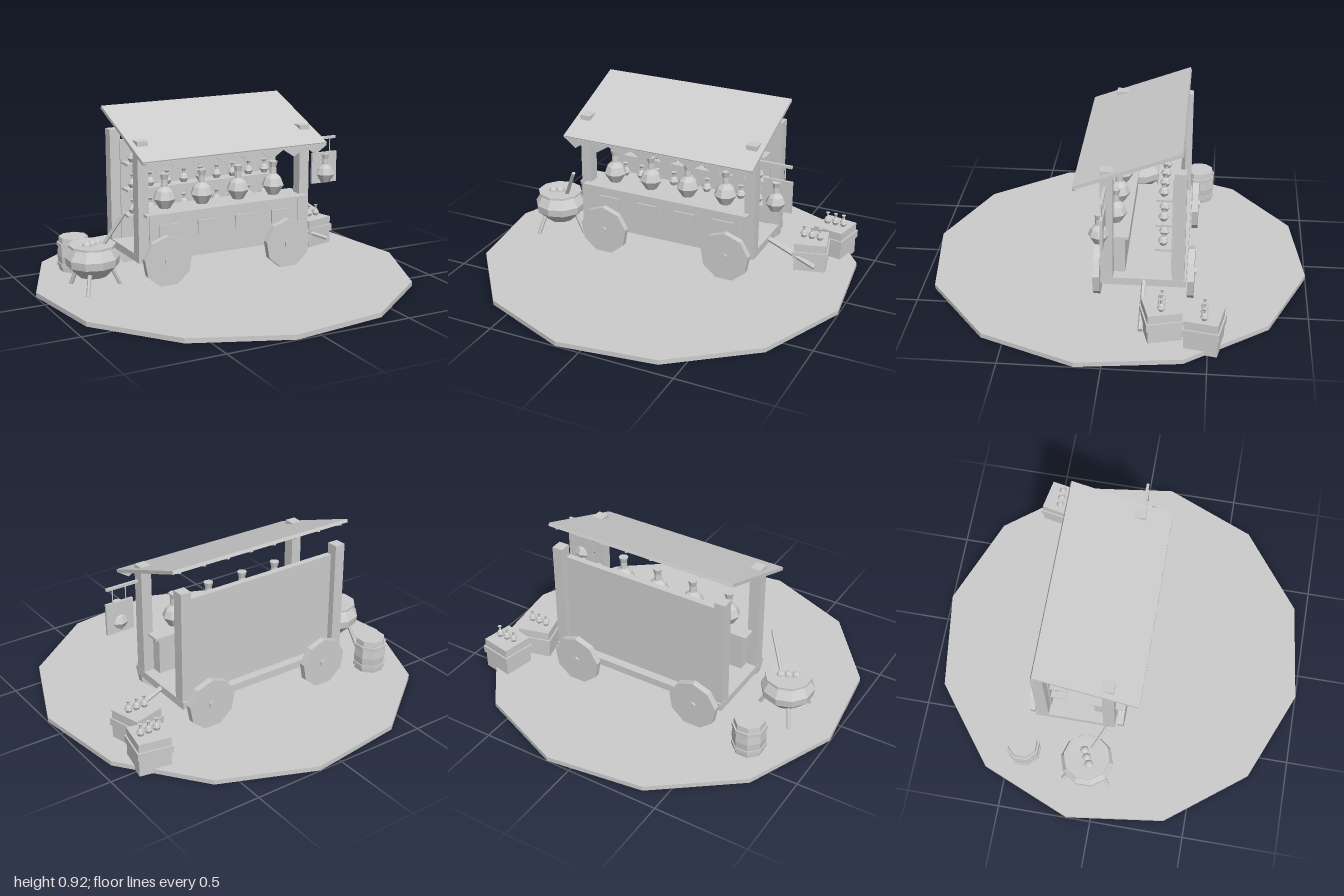
import * as THREE from 'three';

export function createModel() {
  const root = new THREE.Group();
  const grey = new THREE.MeshStandardMaterial({ color: 0xcccccc, flatShading: true });
  grey.name = 'plain grey';
  const greyThin = grey;

  const add = (name, geo, x = 0, y = 0, z = 0, parent = root) => {
    const m = new THREE.Mesh(geo, greyThin);
    m.name = name;
    m.position.set(x, y, z);
    parent.add(m);
    return m;
  };
  // Box given by its extents
  const box = (name, x0, x1, y0, y1, z0, z1, parent) =>
    add(name, new THREE.BoxGeometry(x1 - x0, y1 - y0, z1 - z0),
      (x0 + x1) / 2, (y0 + y1) / 2, (z0 + z1) / 2, parent);
  // Rod between two points
  const rod = (name, a, b, r0, r1 = r0, sides = 6) => {
    const p = new THREE.Vector3(...a), q = new THREE.Vector3(...b), d = q.clone().sub(p);
    const m = add(name, new THREE.CylinderGeometry(r1, r0, d.length(), sides));
    m.position.copy(p).add(q).multiplyScalar(0.5);
    m.quaternion.setFromUnitVectors(new THREE.Vector3(0, 1, 0), d.normalize());
    return m;
  };
  const lathe = (pts, sides) =>
    new THREE.LatheGeometry(pts.map(p => new THREE.Vector2(...p)), sides);

  const flaskGeo = lathe([[0, 0], [0.03, 0.004], [0.061, 0.055], [0.045, 0.095], [0.02, 0.118],
    [0.018, 0.155], [0.026, 0.185], [0, 0.185]], 8);
  const bottleGeo = lathe([[0, 0], [0.015, 0.002], [0.028, 0.024], [0.018, 0.043], [0.008, 0.05],
    [0.008, 0.065], [0.015, 0.076], [0, 0.076]], 8);

  // Ground disc
  add('ground', new THREE.CylinderGeometry(1.008, 1.008, 0.025, 12), 0, 0.0125, 0).rotation.y = -0.13;

  // Wagon bed, posts and back wall
  box('bed', -0.505, 0.505, 0.155, 0.195, -0.38, 0.05);
  for (const s of [-1, 1]) {
    for (const z of [0.018, -0.34]) box('post', s * 0.475 - 0.029, s * 0.475 + 0.029, 0.19, 0.79, z - 0.031, z + 0.031);
  }
  box('backWall', -0.45, 0.45, 0.19, 0.73, -0.335, -0.302);

  // Counter with cabinet and front plates
  box('cabinet', -0.445, 0.445, 0.155, 0.4, -0.07, 0.05);
  box('counterTop', -0.475, 0.475, 0.4, 0.413, -0.09, 0.09);
  for (const x of [-0.33, -0.11, 0.11, 0.33]) box('frontPlate', x - 0.059, x + 0.059, 0.27, 0.345, 0.05, 0.059);
  for (const s of [-1, 1]) box('cabinetTrim', s * 0.44 - 0.006, s * 0.44 + 0.006, 0.195, 0.4, 0.05, 0.056);

  // Large flasks on the counter
  for (const x of [-0.33, -0.115, 0.1, 0.315]) {
    add('flask', flaskGeo, x, 0.413, -0.01);
  }

  // Shelves with rows of small bottles
  for (const y of [0.33, 0.47, 0.61]) {
    box('shelf', -0.445, 0.445, y - 0.006, y + 0.006, -0.302, -0.22);
    for (let i = 0; i < 9; i++) add('bottle', bottleGeo, -0.4 + i * 0.1, y + 0.006, -0.258);
  }

  // Sloping roof with battens underneath
  const roof = new THREE.Group();
  roof.name = 'roof';
  roof.position.set(0, 0.807, -0.087);
  roof.rotation.x = Math.atan2(0.2, 0.53);
  root.add(roof);
  box('roofPanel', -0.533, 0.533, -0.009, 0.009, -0.283, 0.283, roof);
  for (let i = 0; i < 8; i++) {
    const x = -0.49 + i * 0.14;
    box('roofBatten', x - 0.005, x + 0.005, -0.016, -0.008, -0.275, 0.275, roof);
  }

  // Pointed valance along the front edge
  const valance = new THREE.Shape();
  valance.moveTo(-0.53, 0.71);
  for (let i = 0; i < 8; i++) {
    valance.lineTo(-0.53 + (i + 0.5) * 0.1325, 0.657);
    valance.lineTo(-0.53 + (i + 1) * 0.1325, 0.7);
  }
  valance.lineTo(0.53, 0.71);
  add('valance', new THREE.ExtrudeGeometry(valance, { depth: 0.006, bevelEnabled: false }), 0, 0, 0.176);

  // Wheels, hubs and axles
  for (const x of [-0.357, 0.357]) {
    rod('axle', [x, 0.157, -0.4], [x, 0.157, 0.08], 0.018);
    for (const [z, s] of [[0.076, 1], [-0.402, -1]]) {
      const wheel = add('wheel', new THREE.CylinderGeometry(0.136, 0.136, 0.034, 9), x, 0.157, z);
      wheel.rotation.x = Math.PI / 2;
      wheel.rotation.y = Math.PI;
      const hub = add('hub', new THREE.CylinderGeometry(0.024, 0.024, 0.016, 6), x, 0.157, z + s * 0.018);
      hub.rotation.x = Math.PI / 2;
    }
  }

  // Drawbar
  rod('drawbar', [0.48, 0.187, -0.17], [0.765, 0.065, -0.17], 0.013);

  // Hanging sign with a flask
  box('signArm', 0.49, 0.685, 0.697, 0.711, 0.018, 0.032);
  for (const x of [0.575, 0.65]) rod('signCord', [x, 0.62, 0.025], [x, 0.705, 0.025], 0.003);
  box('signBoard', 0.537, 0.692, 0.455, 0.625, 0.018, 0.032);
  add('signFlask', flaskGeo, 0.612, 0.46, 0.045).scale.setScalar(0.85);

  // Crates of bottles
  for (const [x, z, turn, size] of [[0.71, -0.27, 0.26, 0.172], [0.77, -0.48, -0.19, 0.168]]) {
    const crate = new THREE.Group();
    crate.name = 'crate';
    crate.position.set(x, 0, z);
    crate.rotation.y = turn;
    root.add(crate);
    const h = size / 2;
    box('crateBody', -h, h, 0.002, 0.18, -h, h, crate);
    box('crateBand', -h - 0.008, h + 0.008, 0.095, 0.135, -h - 0.008, h + 0.008, crate);
    for (const i of [-1, 0, 1]) {
      const b = add('crateBottle', bottleGeo, x + i * 0.045, 0.175, z);
      b.scale.set(0.75, 0.9, 0.75);
    }
  }

  // Cauldron on three legs
  const cx = -0.715, cz = -0.062;
  add('cauldron', lathe([[0, 0.09], [0.075, 0.095], [0.136, 0.155], [0.14, 0.195], [0.105, 0.25],
    [0.122, 0.25], [0.122, 0.262], [0.1, 0.262], [0, 0.258]], 10), cx, 0, cz);
  for (let i = 0; i < 3; i++) {
    const a = i * Math.PI * 2 / 3, c = Math.cos(a), s = Math.sin(a);
    rod('cauldronLeg', [cx + c * 0.162, 0.003, cz + s * 0.15], [cx + c * 0.09, 0.15, cz + s * 0.09], 0.011);
  }
  for (const i of [-1, 0, 1]) {
    add('bubble', new THREE.IcosahedronGeometry(0.023, 1), cx + i * 0.035, 0.259, cz - i * 0.017);
  }
  rod('stirringStick', [-0.665, 0.25, -0.045], [-0.57, 0.43, 0.028], 0.01);

  // Barrel with hoops
  const barrel = new THREE.Group();
  barrel.name = 'barrel';
  barrel.position.set(-0.685, 0, -0.415);
  barrel.rotation.y = Math.PI / 8;
  root.add(barrel);
  add('barrelBody', lathe([[0, 0.002], [0.078, 0.002], [0.088, 0.11], [0.078, 0.21], [0, 0.21]], 8), 0, 0, 0, barrel);
  for (const y of [0.06, 0.17]) add('barrelHoop', new THREE.CylinderGeometry(0.09, 0.09, 0.02, 8), 0, y, 0, barrel);

  return root;
}
